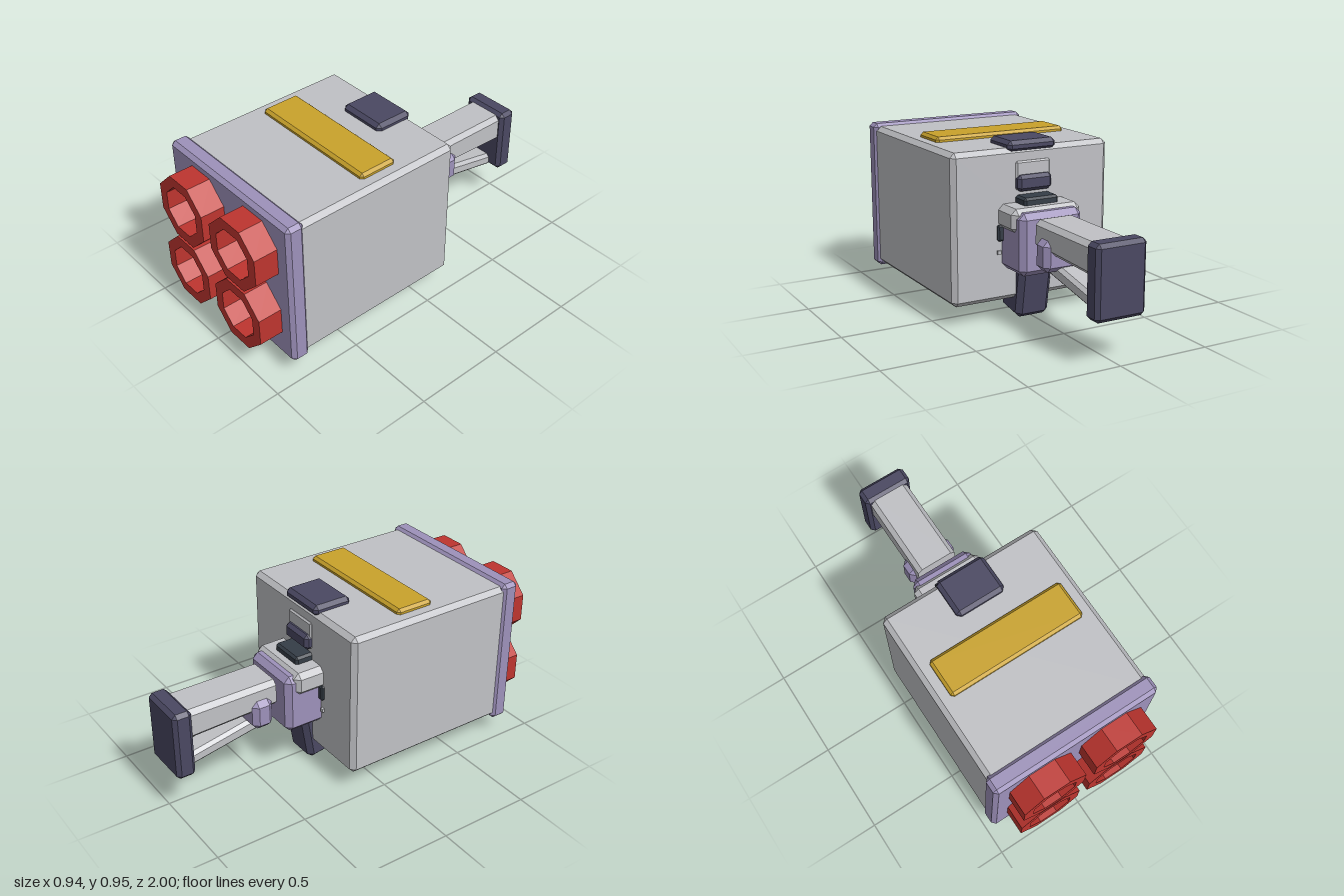
import * as THREE from 'three';
import { ConvexGeometry } from 'three/addons/geometries/ConvexGeometry.js';

const paint = (name, color) => {
  const m = new THREE.MeshStandardMaterial({ color });
  m.name = name;
  return m;
};

// Box with all edges and corners cut flat, given by its min and max corners
function chamferBox([x0, y0, z0], [x1, y1, z1], c) {
  const mid = new THREE.Vector3(x0 + x1, y0 + y1, z0 + z1).multiplyScalar(0.5);
  const h = [(x1 - x0) / 2, (y1 - y0) / 2, (z1 - z0) / 2];
  const pts = [];
  for (const sx of [-1, 1]) for (const sy of [-1, 1]) for (const sz of [-1, 1])
    for (let axis = 0; axis < 3; axis++) {
      const [x, y, z] = h.map((v, i) => (i === axis ? v : v - c));
      pts.push(new THREE.Vector3(sx * x, sy * y, sz * z));
    }
  const g = new ConvexGeometry(pts);
  g.translate(mid.x, mid.y, mid.z);
  return g;
}

// Beam between two chamfered cross-sections: [z, bottom, top]
function beam(halfWidth, c, ...ends) {
  const pts = [];
  for (const [z, lo, hi] of ends)
    for (const s of [-1, 1]) {
      pts.push(new THREE.Vector3(s * halfWidth, lo + c, z), new THREE.Vector3(s * halfWidth, hi - c, z));
      pts.push(new THREE.Vector3(s * (halfWidth - c), lo, z), new THREE.Vector3(s * (halfWidth - c), hi, z));
    }
  return new ConvexGeometry(pts);
}

function octagon(PathType, apothem) {
  const r = apothem / Math.cos(Math.PI / 8);
  const pts = [];
  for (let i = 0; i < 8; i++) {
    const a = Math.PI / 8 + (i * Math.PI) / 4;
    pts.push(new THREE.Vector2(r * Math.cos(a), r * Math.sin(a)));
  }
  return new PathType(pts);
}

export function createModel() {
  const grey = paint('lightGrey', 0xc0c1c5);
  const purple = paint('mutedPurple', 0x9d91ba);
  const red = paint('red', 0xbe352f);
  const dark = paint('darkSlate', 0x4a4862);
  const black = paint('blueBlack', 0x353d47);
  const yellow = paint('yellow', 0xc9a22b);

  const model = new THREE.Group();
  model.name = 'launcher';
  const add = (name, geometry, material, parent = model) => {
    const mesh = new THREE.Mesh(geometry, material);
    mesh.name = name;
    parent.add(mesh);
    return mesh;
  };
  // Chamfered box centred on x = 0
  const block = (name, material, halfX, [y0, y1], [z0, z1], c) =>
    add(name, chamferBox([-halfX, y0, z0], [halfX, y1, z1], c), material);

  // Housing
  block('housing', grey, 0.46, [0.11, 0.91], [-0.18, 0.85], 0.025);
  block('frontPlate', purple, 0.472, [0.095, 0.925], [0.77, 0.87], 0.02);
  block('topStripe', yellow, 0.385, [0.88, 0.937], [0.145, 0.36], 0.015);
  block('topLatch', dark, 0.14, [0.885, 0.945], [-0.185, 0.035], 0.02);

  // Four octagonal muzzles with dark bores
  const shape = octagon(THREE.Shape, 0.178);
  shape.holes.push(octagon(THREE.Path, 0.122));
  const ring = new THREE.ExtrudeGeometry(shape, { depth: 0.14, bevelEnabled: false });
  const bore = new THREE.CylinderGeometry(0.123, 0.123, 0.03, 12).toNonIndexed();
  bore.computeVertexNormals();
  bore.rotateX(Math.PI / 2);
  for (const x of [-0.209, 0.209])
    for (const y of [0.323, 0.697]) {
      const muzzle = new THREE.Group();
      muzzle.name = 'muzzle';
      muzzle.position.set(x, y, 0.86);
      add('muzzleRing', ring, red, muzzle);
      add('muzzleBore', bore, black, muzzle).position.z = 0.005;
      model.add(muzzle);
    }

  // Rear sight stack
  block('sightPlate', grey, 0.1, [0.69, 0.84], [-0.19, -0.15], 0.008);
  block('sightKnob', dark, 0.1, [0.685, 0.77], [-0.217, -0.16], 0.018);
  block('sightBase', black, 0.1, [0.61, 0.665], [-0.277, -0.16], 0.012);

  // Rear mount
  block('mountCap', grey, 0.2, [0.5, 0.627], [-0.34, -0.15], 0.028);
  block('mountBlock', purple, 0.18, [0.285, 0.61], [-0.385, -0.15], 0.03);
  block('mountClip', black, 0.21, [0.435, 0.52], [-0.197, -0.16], 0.008);
  for (const x of [-0.2, 0.2])
    add('mountPin', new THREE.BoxGeometry(0.02, 0.02, 0.02), grey).position.set(x, 0.375, -0.182);

  // Slanted grip and its base under the housing
  const grip = add('grip', chamferBox([-0.098, -0.22, -0.095], [0.098, 0.22, 0.095], 0.028), dark);
  grip.position.set(0, 0.2275, -0.135);
  grip.rotation.x = -0.16;
  block('gripBase', dark, 0.07, [0.1, 0.2], [-0.1, 0.09], 0.01);

  // Shoulder stock
  add('stockBar', beam(0.115, 0.025, [-0.41, 0.44, 0.587], [-0.92, 0.42, 0.585]), grey);
  add('stockStrut', beam(0.065, 0.018, [-0.465, 0.305, 0.385], [-0.91, 0.22, 0.295]), grey);
  block('stockCollar', purple, 0.143, [0.345, 0.507], [-0.555, -0.44], 0.028);
  block('buttPad', dark, 0.14, [0.225, 0.602], [-1, -0.897], 0.02);

  return model;
}
